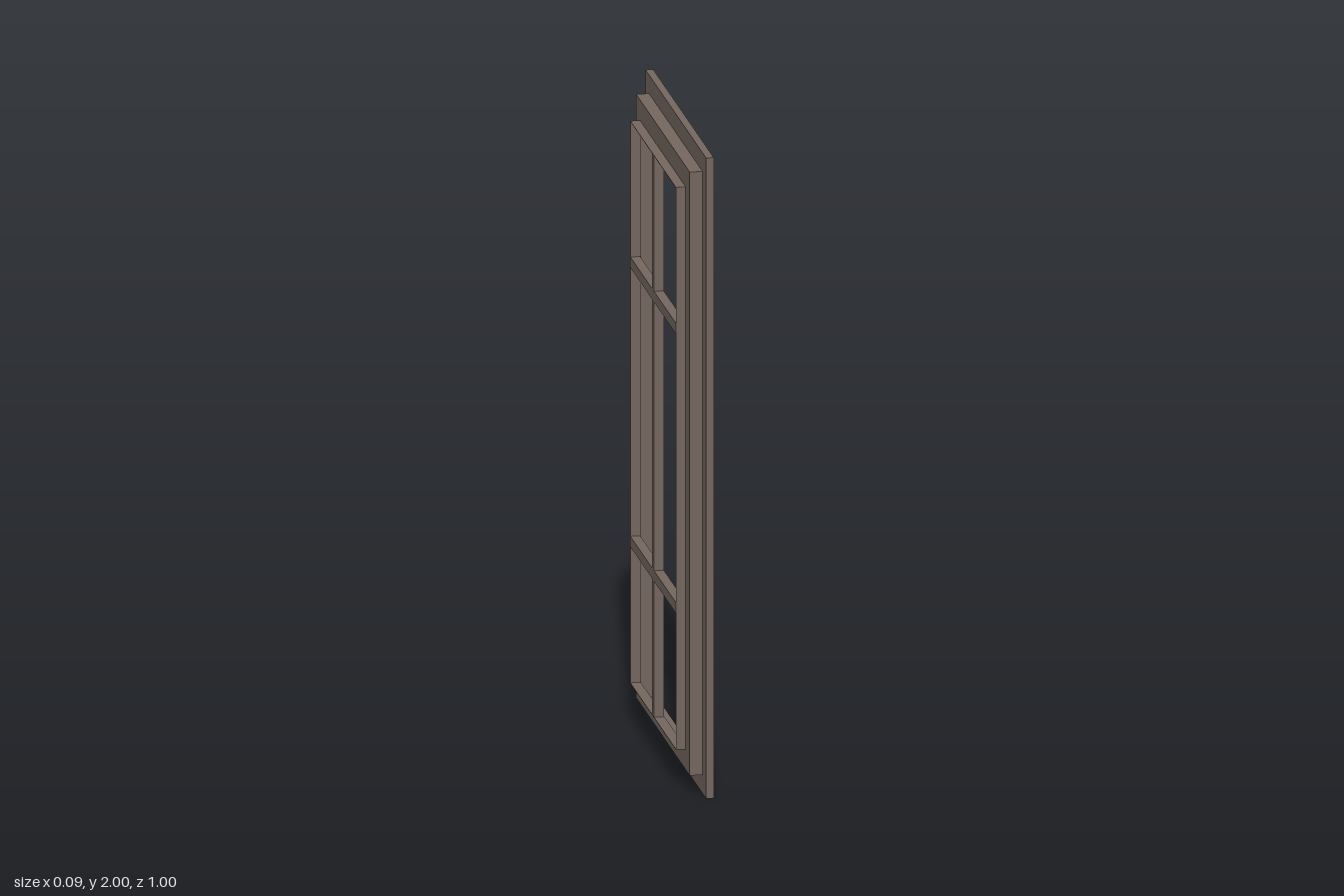
import * as THREE from 'three';

const frameMaterial = new THREE.MeshStandardMaterial({ color: 0x74675f });
frameMaterial.name = 'brown frame';

const MID_Y = 1;

// Rectangular ring in the z-y plane, from half sizes, spanning x0 to x1
function ring(name, outerZ, outerY, innerZ, innerY, x0, x1) {
  const rect = (path, z, y) => path
    .moveTo(-z, -y).lineTo(z, -y).lineTo(z, y).lineTo(-z, y).closePath();
  const shape = new THREE.Shape();
  rect(shape, outerZ, outerY);
  const hole = new THREE.Path();
  rect(hole, innerZ, innerY);
  shape.holes.push(hole);
  const geometry = new THREE.ExtrudeGeometry(shape, { depth: x1 - x0, bevelEnabled: false });
  geometry.rotateY(Math.PI / 2);
  geometry.translate(x0, MID_Y, 0);
  const mesh = new THREE.Mesh(geometry, frameMaterial);
  mesh.name = name;
  return mesh;
}

function bar(name, height, width, y, z) {
  const mesh = new THREE.Mesh(new THREE.BoxGeometry(0.03, height, width), frameMaterial);
  mesh.name = name;
  mesh.position.set(-0.032, y, z);
  return mesh;
}

export function createModel() {
  const model = new THREE.Group();
  model.name = 'windowFrame';

  // Stepped frame: flat flange, thin recess wall, step plate, inner sleeve
  model.add(
    ring('outerFlange', 0.5, 1, 0.442, 0.942, 0.0225, 0.046),
    ring('recessWall', 0.442, 0.942, 0.44, 0.94, -0.015, 0.0225),
    ring('stepPlate', 0.442, 0.942, 0.375, 0.876, -0.017, -0.015),
    ring('innerSleeve', 0.377, 0.878, 0.375, 0.876, -0.047, -0.017),
  );

  // Upright glazing bar, with two crossbars on each side of it
  model.add(bar('uprightBar', 1.752, 0.03, MID_Y, 0));
  for (const y of [0.565, 1.437]) {
    for (const side of [-1, 1]) model.add(bar('crossBar', 0.033, 0.36, y, side * 0.195));
  }
  return model;
}
